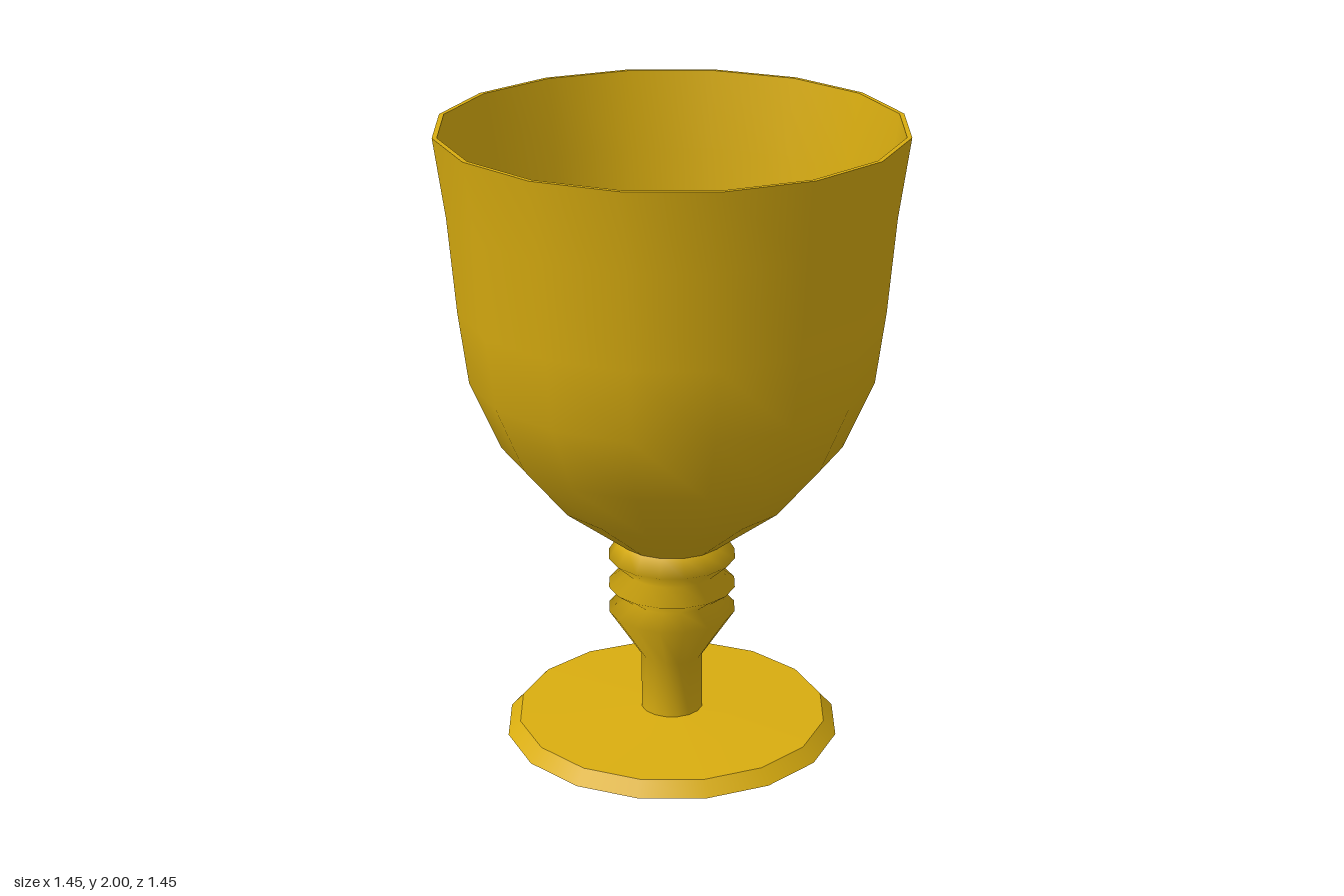
import * as THREE from 'three';

const SIDES = 16;

export function createModel() {
  const goblet = new THREE.Group();
  goblet.name = 'goblet';
  const gold = new THREE.MeshStandardMaterial({ color: 0xd9ad10 });

  // Each part is its own lathe, so shading is smooth within it and sharp between parts
  const turn = (name, profile) => {
    const points = profile.map(([r, y]) => new THREE.Vector2(r, y));
    const mesh = new THREE.Mesh(new THREE.LatheGeometry(points, SIDES), gold);
    mesh.name = name;
    goblet.add(mesh);
  };

  // Foot
  turn('footUnderside', [[0, 0], [0.54, 0]]);
  turn('footEdge', [[0.54, 0], [0.5, 0.045]]);
  turn('footTop', [[0.5, 0.045], [0.1, 0.06]]);

  // Stem with its flared collar and two ring beads
  turn('stem', [
    [0.1, 0.06], [0.1, 0.25], [0.205, 0.41], [0.145, 0.45],
    [0.205, 0.495], [0.145, 0.54], [0.205, 0.595], [0.17, 0.65],
  ]);

  // Bowl: outside, rim, and inside from the rim down
  turn('bowlOutside', [
    [0.17, 0.65], [0.39, 0.82], [0.54, 1.0], [0.635, 1.22],
    [0.665, 1.45], [0.69, 1.75], [0.725, 2.0],
  ]);
  turn('rim', [[0.725, 2.0], [0.71, 2.0]]);
  turn('bowlInsideWall', [[0.71, 2.0], [0.677, 1.75], [0.652, 1.45], [0.63, 1.23]]);
  turn('bowlInsideBase', [[0.63, 1.23], [0.525, 1.01], [0.375, 0.84], [0.16, 0.68], [0, 0.66]]);

  return goblet;
}
